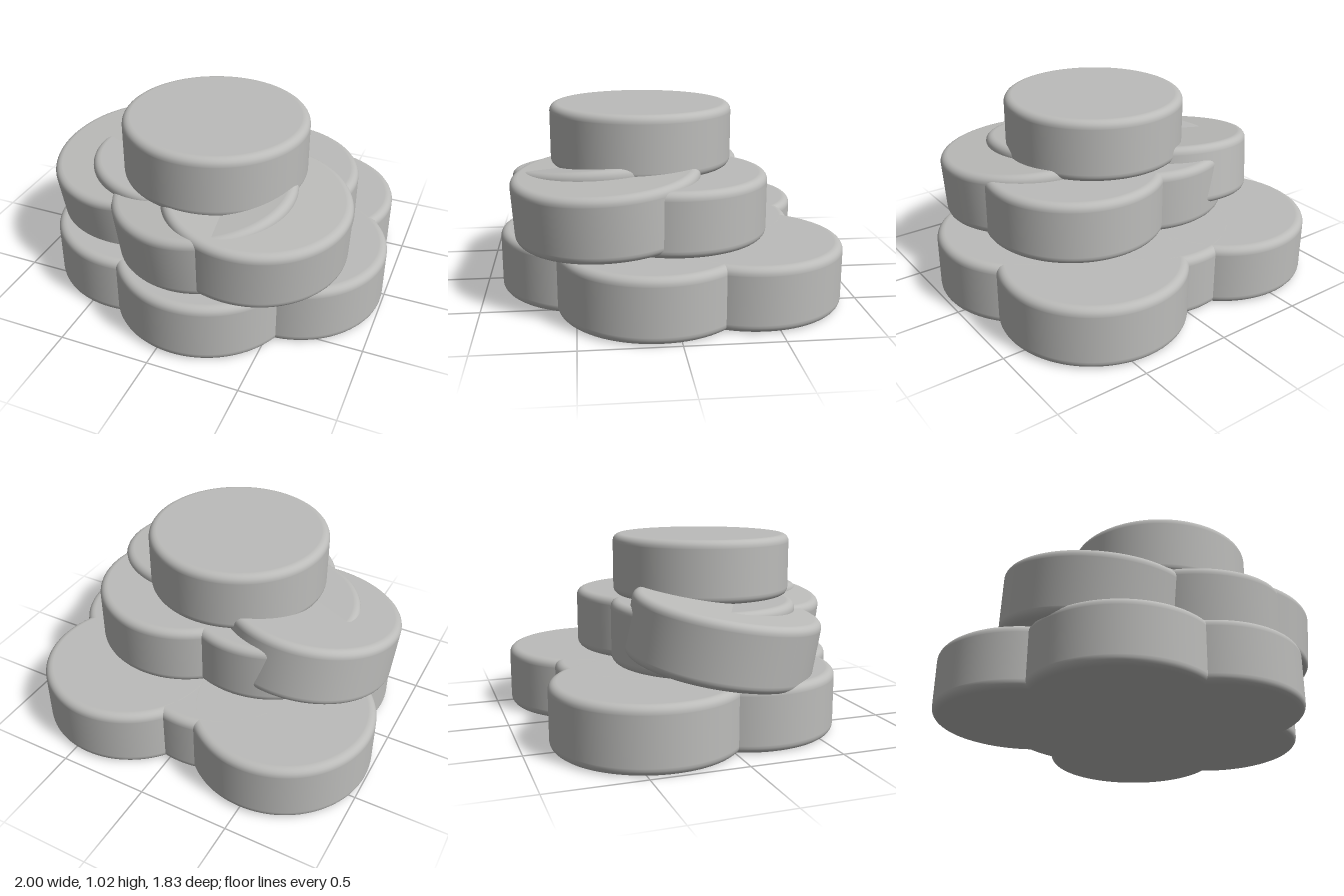
import * as THREE from 'three';

const R = 0.5, H = 0.34, BEVEL = 0.04;

// Thick round disc with softened rims; its top face lies at y = 0
function discGeometry() {
  const points = [new THREE.Vector2(0, -H), new THREE.Vector2(R - BEVEL - 0.004, -H)];
  const steps = 6;
  const corner = (cy, from) => {
    for (let i = 0; i <= steps; i++) {
      const a = from + (i / steps) * Math.PI / 2;
      points.push(new THREE.Vector2(R - BEVEL + BEVEL * Math.cos(a), cy + BEVEL * Math.sin(a)));
    }
  };
  corner(-H + BEVEL, -Math.PI / 2);
  points.push(new THREE.Vector2(R, -H + BEVEL + 0.004), new THREE.Vector2(R, -BEVEL - 0.004));
  corner(-BEVEL, 0);
  points.push(new THREE.Vector2(R - BEVEL - 0.004, 0), new THREE.Vector2(0, 0));
  return new THREE.LatheGeometry(points, 96);
}

export function createModel() {
  const model = new THREE.Group();
  model.name = 'discPile';
  const grey = new THREE.MeshStandardMaterial({ color: 0xbcbcba });
  grey.name = 'plain grey';
  const geometry = discGeometry();
  const up = new THREE.Vector3(0, 1, 0);

  // Each disc: name, centre of top face (x, y, z), slope of top along x and z
  const layers = {
    bottomLayer: [
      ['backRightDisc', -0.5, 0.34, -0.36, 0, 0],
      ['backLeftDisc', 0.41, 0.34, -0.42, 0, 0],
      ['leftDisc', 0.495, 0.34, 0.1, 0, 0],
      ['frontDisc', 0.09, 0.34, 0.41, 0, 0],
      ['frontRightDisc', -0.38, 0.34, 0.21, 0, 0],
      ['centreDisc', -0.07, 0.34, -0.24, 0, 0],
    ],
    middleLayer: [
      ['backDisc', 0.27, 0.685, -0.035, 0, 0],
      ['innerDisc', -0.22, 0.685, 0.045, 0, 0],
      ['tiltedRightDisc', -0.45, 0.69, 0.1, 0.07, -0.15],
      ['tiltedFrontDisc', 0.04, 0.70, 0.34, 0.1, -0.08],
      ['tiltedLeftDisc', 0.34, 0.71, 0.335, -0.045, -0.06],
    ],
    topLayer: [['topDisc', 0.025, 1.02, 0.125, 0, 0]],
  };

  for (const [layerName, discs] of Object.entries(layers)) {
    const layer = new THREE.Group();
    layer.name = layerName;
    for (const [name, x, y, z, slopeX, slopeZ] of discs) {
      const disc = new THREE.Mesh(geometry, grey);
      disc.name = name;
      disc.position.set(x, y, z);
      disc.quaternion.setFromUnitVectors(up, new THREE.Vector3(-slopeX, 1, -slopeZ).normalize());
      layer.add(disc);
    }
    model.add(layer);
  }
  return model;
}
